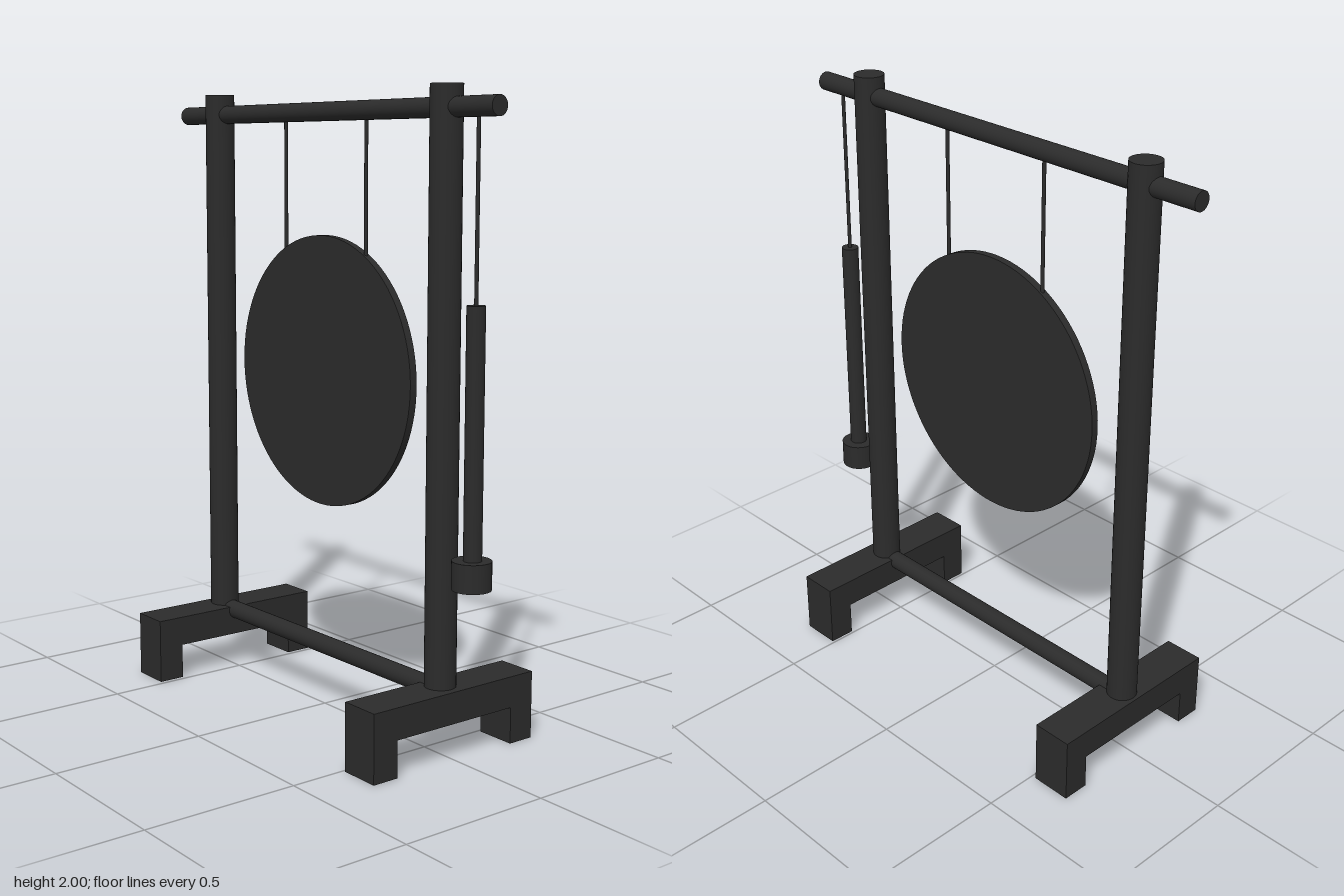
import * as THREE from 'three';

export function createModel() {
  const model = new THREE.Group();
  const charcoal = new THREE.MeshStandardMaterial({ color: 0x2b2b2b });
  charcoal.name = 'charcoal';

  function add(name, geometry, x, y, z) {
    const mesh = new THREE.Mesh(geometry, charcoal);
    mesh.name = name;
    mesh.position.set(x, y, z);
    model.add(mesh);
    return mesh;
  }

  // Upright cylinder between two heights
  function upright(name, radius, bottom, top, z) {
    return add(name, new THREE.CylinderGeometry(radius, radius, top - bottom, 32), 0, (bottom + top) / 2, z);
  }

  // Horizontal rod running front to back
  function rod(name, radius, y, back, front) {
    const geometry = new THREE.CylinderGeometry(radius, radius, front - back, 32).rotateX(Math.PI / 2);
    return add(name, geometry, 0, y, (back + front) / 2);
  }

  // Bridge-shaped feet
  const footShape = new THREE.Shape([
    [-0.317, 0], [-0.228, 0], [-0.228, 0.116], [0.228, 0.116],
    [0.228, 0], [0.317, 0], [0.317, 0.215], [-0.317, 0.215],
  ].map(([x, y]) => new THREE.Vector2(x, y)));
  const footDepth = 0.133;
  const footGeometry = new THREE.ExtrudeGeometry(footShape, { depth: footDepth, bevelEnabled: false })
    .translate(0, 0, -footDepth / 2);
  add('frontFoot', footGeometry, 0, 0, 0.575);
  add('backFoot', footGeometry, 0, 0, -0.582);

  // Frame
  upright('frontPost', 0.049, 0.2, 2, 0.569);
  upright('backPost', 0.049, 0.2, 2, -0.588);
  rod('topBar', 0.03, 1.933, -0.786, 0.788);
  rod('lowerBar', 0.03, 0.202, -0.58, 0.57);

  // Gong disc and its cords
  const disc = new THREE.CylinderGeometry(0.435, 0.435, 0.025, 96).rotateZ(Math.PI / 2);
  add('gong', disc, 0, 1.112, 0);
  for (const z of [0.206, -0.206]) upright('gongCord', 0.006, 1.47, 1.92, z);

  // Hanging mallet
  upright('malletCord', 0.006, 1.36, 1.92, 0.704);
  upright('malletHandle', 0.028, 0.62, 1.375, 0.704);
  upright('malletHead', 0.06, 0.543, 0.63, 0.701);

  return model;
}
